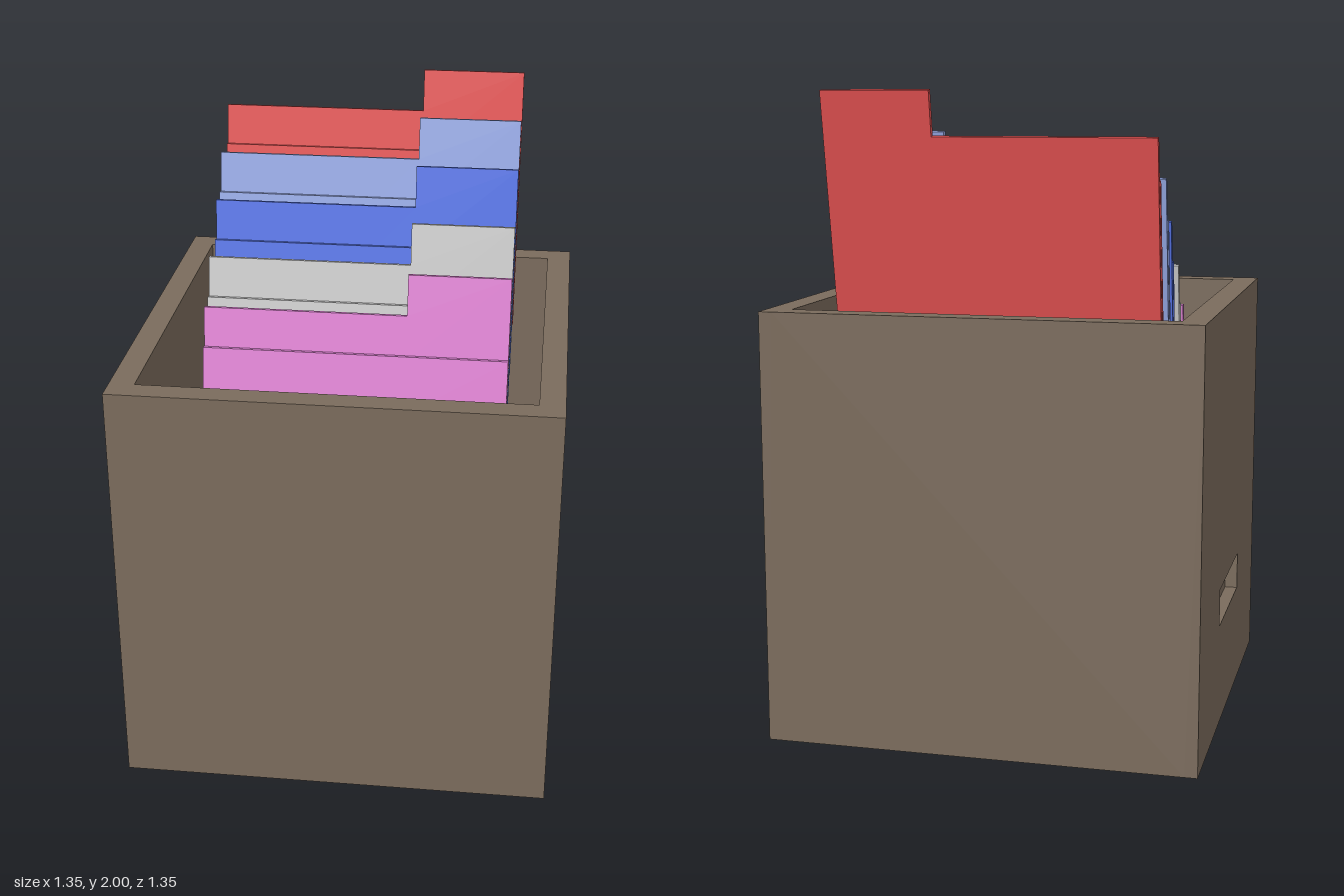
import * as THREE from 'three';

const HALF = 0.6725, HEIGHT = 1.345, INNER = 0.595, RECESS = 0.04;

const paint = (color) => new THREE.MeshStandardMaterial({ color });

function part(name, geometry, material, x = 0, y = 0, z = 0) {
  const mesh = new THREE.Mesh(geometry, material);
  mesh.name = name;
  mesh.position.set(x, y, z);
  return mesh;
}

// Rectangle outline, usable as a shape or a hole
function rect(x0, y0, x1, y1) {
  return new THREE.Shape([[x0, y0], [x1, y0], [x1, y1], [x0, y1]].map(([x, y]) => new THREE.Vector2(x, y)));
}

const extrude = (shape, depth) => new THREE.ExtrudeGeometry(shape, { depth, bevelEnabled: false });

// Open box with a shallow hand recess on each side
function createBox() {
  const box = new THREE.Group();
  box.name = 'box';
  const brown = paint(0x7a6b5c);

  const ring = rect(-HALF + RECESS, -HALF, HALF - RECESS, HALF);
  ring.holes.push(rect(-INNER, -INNER, INNER, INNER));
  box.add(part('walls', extrude(ring, HEIGHT).rotateX(-Math.PI / 2), brown));

  box.add(part('floor', new THREE.BoxGeometry(2 * INNER, 0.075, 2 * INNER), brown, 0, 0.0375, 0));

  const side = rect(-HALF, 0, HALF, HEIGHT);
  side.holes.push(rect(-0.225, 0.33, 0.225, 0.45));
  const sideGeometry = extrude(side, RECESS).rotateY(Math.PI / 2);
  box.add(part('leftHandlePanel', sideGeometry, brown, HALF - RECESS));
  box.add(part('rightHandlePanel', sideGeometry, brown, -HALF));
  return box;
}

// Folder: tall tabbed back leaf, shorter front leaf, joined by a fold at the bottom.
// Its origin is the top back edge of the tab.
function createFolder(name, color) {
  const folder = new THREE.Group();
  folder.name = name;
  const material = paint(color);
  const x0 = -0.517, x1 = 0.487, tabX = 0.153;
  const bottom = -0.857, shoulder = -0.136, frontTop = -0.267;
  const sheet = 0.018, gap = 0.005;

  const back = new THREE.Shape();
  back.moveTo(x0, bottom);
  back.lineTo(x1, bottom);
  back.lineTo(x1, 0);
  back.lineTo(tabX, 0);
  back.lineTo(tabX, shoulder);
  back.lineTo(x0, shoulder);
  back.closePath();
  folder.add(part('backLeaf', extrude(back, sheet), material));
  folder.add(part('frontLeaf', extrude(rect(x0, bottom, x1, frontTop), sheet), material, 0, 0, sheet + gap));
  folder.add(part('fold', extrude(rect(x0, bottom, x1, bottom + sheet), gap), material, 0, 0, sheet));
  return folder;
}

export function createModel() {
  const model = new THREE.Group();
  model.name = 'fileBox';
  model.add(createBox());

  // Folders from front to back, each set higher and leaning back
  const folders = [
    ['pinkFolder', 0xe083d4, 1.461, -0.094],
    ['greyFolder', 0xcccccc, 1.597, -0.2],
    ['blueFolder', 0x5573e6, 1.742, -0.354],
    ['paleBlueFolder', 0x95a8e4, 1.875, -0.459],
    ['redFolder', 0xe25050, 1.997, -0.612],
  ];
  for (const [name, color, y, z] of folders) {
    const folder = createFolder(name, color);
    folder.position.set(0, y, z);
    folder.rotation.x = -THREE.MathUtils.degToRad(10);
    model.add(folder);
  }
  return model;
}
